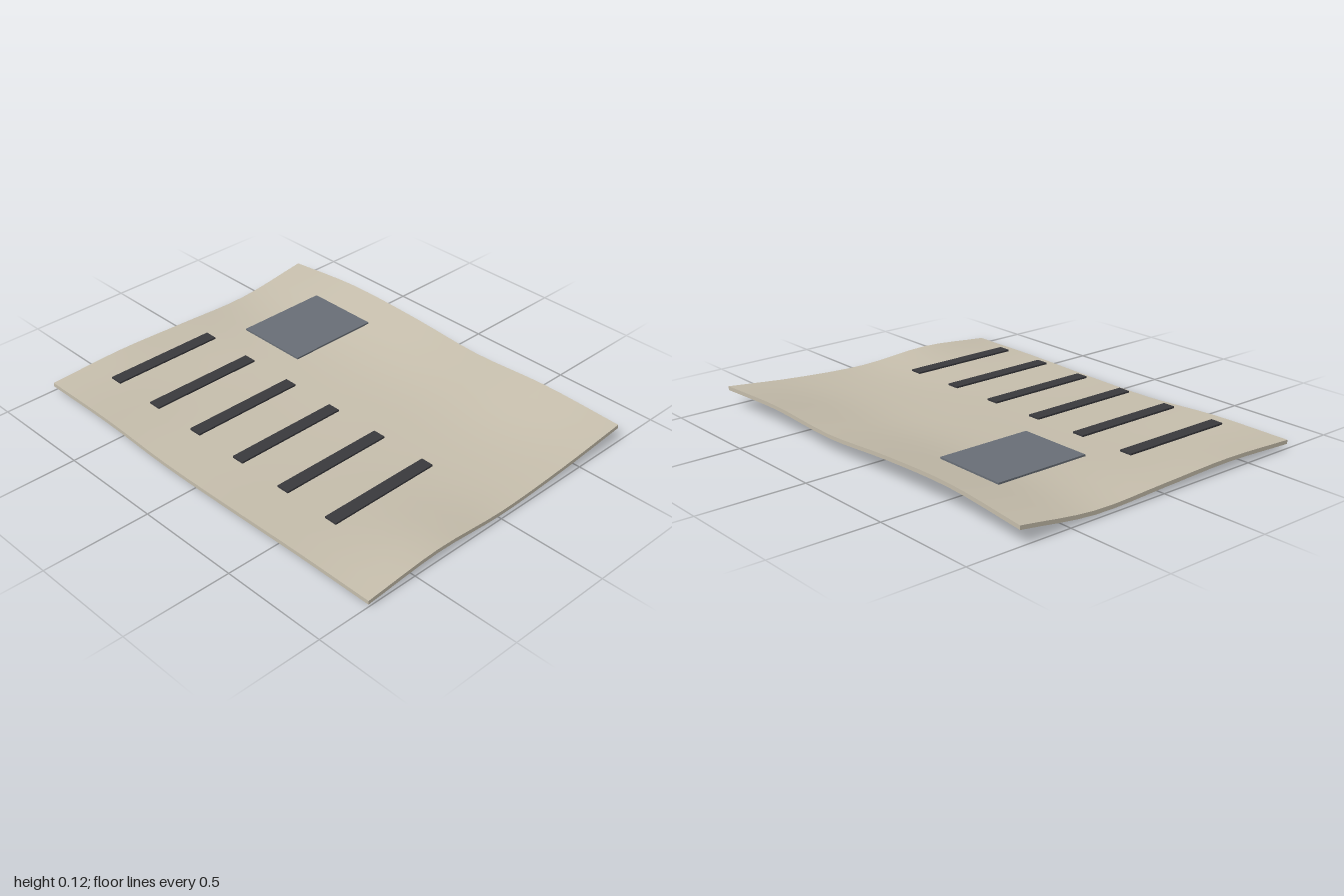
import * as THREE from 'three';
import { mergeVertices, toCreasedNormals } from 'three/addons/utils/BufferGeometryUtils.js';

const WIDTH = 1.5, LENGTH = 2, THICKNESS = 0.018;

// Sheet heights: rows run back to front, columns from -x to +x
const HEIGHTS = [
  [0.040, 0.055, 0.045, 0.037, 0.085],
  [0.040, 0.030, 0.035, 0.050, 0.120],
  [0.020, 0.025, 0.030, 0.050, 0.113],
  [0.022, 0.020, 0.025, 0.040, 0.090],
  [0.030, 0.030, 0.025, 0.045, 0.107],
  [0.030, 0.060, 0.040, 0.058, 0.095],
];

// Smooth interpolation through a list of values, t in 0..1
function sample(values, t) {
  const last = values.length - 1;
  const i = Math.min(Math.floor(t * last), last - 1);
  const f = t * last - i;
  const a = values[i], b = values[i + 1];
  const before = i > 0 ? values[i - 1] : 2 * a - b;
  const after = i + 2 <= last ? values[i + 2] : 2 * b - a;
  const m0 = (b - before) / 2, m1 = (after - a) / 2;
  const f2 = f * f, f3 = f2 * f;
  return (2 * f3 - 3 * f2 + 1) * a + (f3 - 2 * f2 + f) * m0
    + (3 * f2 - 2 * f3) * b + (f3 - f2) * m1;
}

function sheetHeight(x, z) {
  const u = THREE.MathUtils.clamp(x / WIDTH + 0.5, 0, 1);
  const v = THREE.MathUtils.clamp(z / LENGTH + 0.5, 0, 1);
  return sample(HEIGHTS.map((row) => sample(row, u)), v);
}

function material(color) {
  return new THREE.MeshStandardMaterial({ color });
}

function addBox(parent, name, size, position, mat) {
  const mesh = new THREE.Mesh(new THREE.BoxGeometry(...size), mat);
  mesh.name = name;
  mesh.position.set(...position);
  parent.add(mesh);
  return mesh;
}

export function createModel() {
  const model = new THREE.Group();
  model.name = 'wavyPage';

  // Warped paper slab
  let paper = new THREE.BoxGeometry(WIDTH, THICKNESS, LENGTH, 16, 1, 20);
  const pos = paper.attributes.position;
  for (let i = 0; i < pos.count; i++) {
    const top = sheetHeight(pos.getX(i), pos.getZ(i));
    pos.setY(i, pos.getY(i) > 0 ? top : Math.max(0, top - THICKNESS));
  }
  paper.deleteAttribute('normal');
  paper.deleteAttribute('uv');
  paper = toCreasedNormals(mergeVertices(paper), Math.PI / 4);
  const sheet = new THREE.Mesh(paper, material(0xc8c0ae));
  sheet.name = 'paperSheet';
  model.add(sheet);

  // Column of dark text bars
  const bars = new THREE.Group();
  bars.name = 'textBars';
  const ink = material(0x3a3a3e);
  for (let i = 0; i < 6; i++) {
    addBox(bars, `textBar${i + 1}`, [0.55, 0.008, 0.06], [-0.305, 0.093, -0.755 + i * 0.275], ink);
  }
  model.add(bars);

  // Picture panel
  addBox(model, 'picturePanel', [0.455, 0.008, 0.355], [0.348, 0.097, -0.502], material(0x6a7078));

  return model;
}
